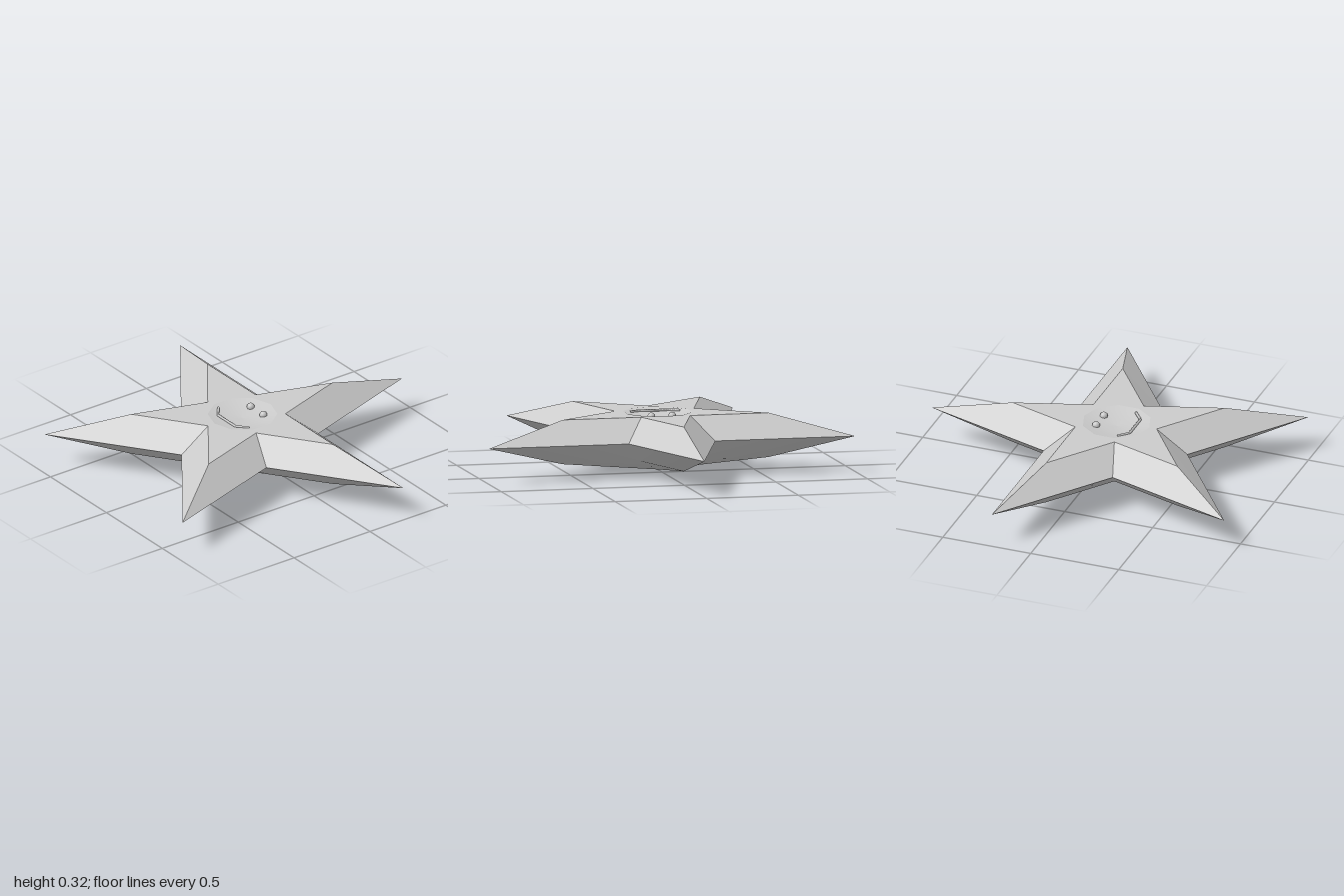
import * as THREE from 'three';

const CZ = 0.103; // the star's centre lies in front of the origin
const material = new THREE.MeshStandardMaterial({ color: 0xcccccc });

function mesh(name, geometry, x = 0, y = 0, z = 0) {
  const m = new THREE.Mesh(geometry, material);
  m.name = name;
  m.position.set(x, y, z);
  return m;
}

// Ten-cornered star outline, alternating tip and notch radii
function starRing(tip, notch, y) {
  return Array.from({ length: 10 }, (_, i) => {
    const a = (i * Math.PI) / 5, r = i % 2 ? notch : tip;
    return new THREE.Vector3(r * Math.sin(a), y, -r * Math.cos(a));
  });
}

// Skin joining consecutive rings, optionally starting from a central apex
function skin(rings, apex) {
  const points = rings.flat();
  const index = [];
  for (let k = 0; k < rings.length - 1; k++) {
    for (let i = 0; i < 10; i++) {
      const a = k * 10 + i, b = k * 10 + ((i + 1) % 10);
      index.push(a, a + 10, b, b, a + 10, b + 10);
    }
  }
  if (apex) {
    points.push(apex);
    for (let i = 0; i < 10; i++) index.push(points.length - 1, i, (i + 1) % 10);
  }
  const g = new THREE.BufferGeometry().setFromPoints(points);
  g.setIndex(index);
  return g;
}

export function createModel() {
  const group = new THREE.Group();
  const rim = starRing(1.051, 0.402, 0.19);
  const top = starRing(0.592, 0.227, 0.31);
  const belly = starRing(0.592, 0.227, 0.073);

  // Faceted bevel from the rim up to the flat top
  const bevel = skin([rim, top]).toNonIndexed();
  bevel.computeVertexNormals();
  group.add(mesh('upperBevel', bevel, 0, 0, CZ));

  // Smooth underside running down to a central point
  const under = skin([belly, rim], new THREE.Vector3(0, 0, 0));
  under.computeVertexNormals();
  group.add(mesh('underside', under, 0, 0, CZ));

  // Flat top with a ten-sided opening for the face
  const R = 0.185;
  const plate = new THREE.Shape(top.map((p) => new THREE.Vector2(p.x, -p.z)));
  plate.holes.push(new THREE.Path(
    starRing(R, R, 0).map((p) => new THREE.Vector2(p.x, -p.z))));
  group.add(mesh('topPlate', new THREE.ShapeGeometry(plate).rotateX(-Math.PI / 2), 0, 0.31, CZ));

  // Shallow face dish
  const dish = [[R, 0], [0.13, -0.012], [0.07, -0.021], [0, -0.025]]
    .map(([r, y]) => new THREE.Vector2(r, y));
  group.add(mesh('faceDish', new THREE.LatheGeometry(dish, 10), 0, 0.31, CZ));

  // Eyes
  for (const [name, s] of [['leftEye', 1], ['rightEye', -1]]) {
    group.add(mesh(name, new THREE.SphereGeometry(0.021, 12, 8), s * 0.057, 0.299, 0.008));
  }

  // Smiling mouth
  const path = new THREE.CurvePath();
  const corners = [[-0.14, 0.305, 0.158], [-0.08, 0.302, 0.207], [0.08, 0.302, 0.207], [0.14, 0.305, 0.158]]
    .map((p) => new THREE.Vector3(...p));
  for (let i = 0; i < 3; i++) path.add(new THREE.LineCurve3(corners[i], corners[i + 1]));
  group.add(mesh('mouth', new THREE.TubeGeometry(path, 24, 0.007, 6)));

  return group;
}
